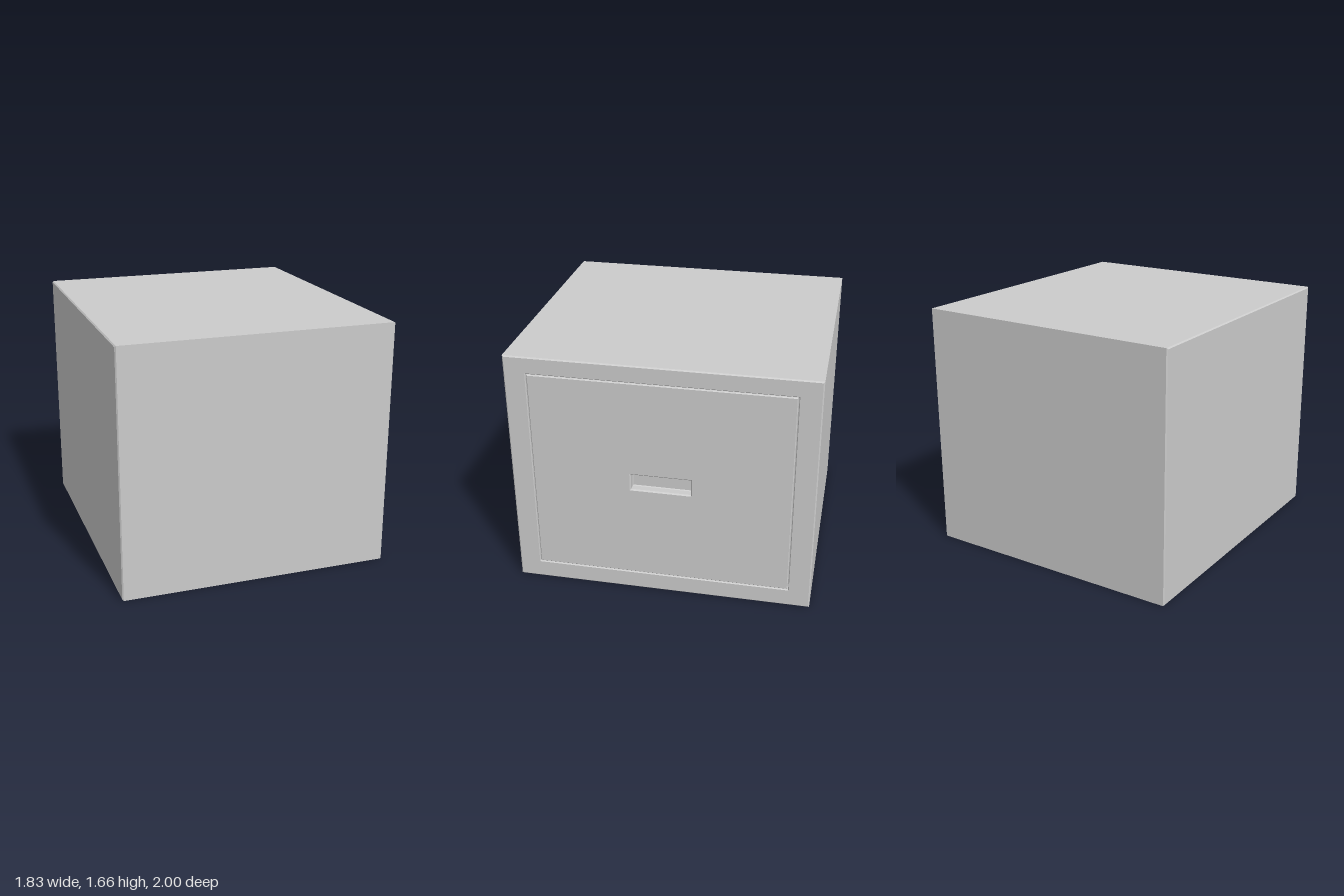
import * as THREE from 'three';

// Joins rectangular sections [x, halfWidth, yBottom, yTop] in order, with optional end caps.
function loft(name, sections, capStart, capEnd) {
  const pos = [];
  const quad = (a, b, c, d) => [a, b, c, a, c, d].forEach(p => pos.push(...p));
  const rings = sections.map(([x, w, y0, y1]) => [[x, y0, w], [x, y0, -w], [x, y1, -w], [x, y1, w]]);
  for (let s = 0; s < rings.length - 1; s++) {
    const a = rings[s], b = rings[s + 1];
    for (let i = 0; i < 4; i++) {
      const j = (i + 1) % 4;
      quad(a[i], a[j], b[j], b[i]);
    }
  }
  if (capStart) quad(...[...rings[0]].reverse());
  if (capEnd) quad(...rings[rings.length - 1]);
  const geometry = new THREE.BufferGeometry();
  geometry.setAttribute('position', new THREE.Float32BufferAttribute(pos, 3));
  geometry.computeVertexNormals();
  const mesh = new THREE.Mesh(geometry, new THREE.MeshStandardMaterial({ color: 0xcccccc }));
  mesh.name = name;
  return mesh;
}

export function createModel() {
  const group = new THREE.Group();
  group.name = 'drawerCabinet';

  const X = 0.913, W = 1, H = 1.665; // half depth, half width, height
  const B = 0.008;                   // edge chamfer
  const floorX = X - 0.08;           // back of the drawer recess

  // One section shrunk by d on every side
  const inset = (x, [w, y0, y1], d) => [x, w - d, y0 + d, y1 - d];
  const outer = [W, 0, H];
  const opening = [0.86, 0.12, 1.555];
  const slot = [0.205, 0.775, 0.9];

  // Cabinet body: chamfered block with a recess for the drawer
  group.add(loft('cabinetBody', [
    inset(-X, outer, B), inset(-X + B, outer, 0),
    inset(X - B, outer, 0), inset(X, outer, B),
    inset(X, opening, 0), inset(X - 0.005, opening, 0.005),
    inset(floorX, opening, 0.005),
  ], true, true));

  // Drawer front: chamfered panel with a narrow gap around it and a sunken finger slot
  group.add(loft('drawerFront', [
    inset(floorX, opening, 0.01), inset(X - 0.005, opening, 0.01),
    inset(X, opening, 0.015),
    inset(X, slot, 0), inset(X - 0.008, slot, 0.008),
  ], false, false));

  // Finger slot: walls and back
  group.add(loft('fingerSlot', [
    inset(X - 0.008, slot, 0.008), inset(X - 0.05, slot, 0.008),
    inset(X - 0.055, slot, 0.013),
  ], false, true));

  return group;
}
